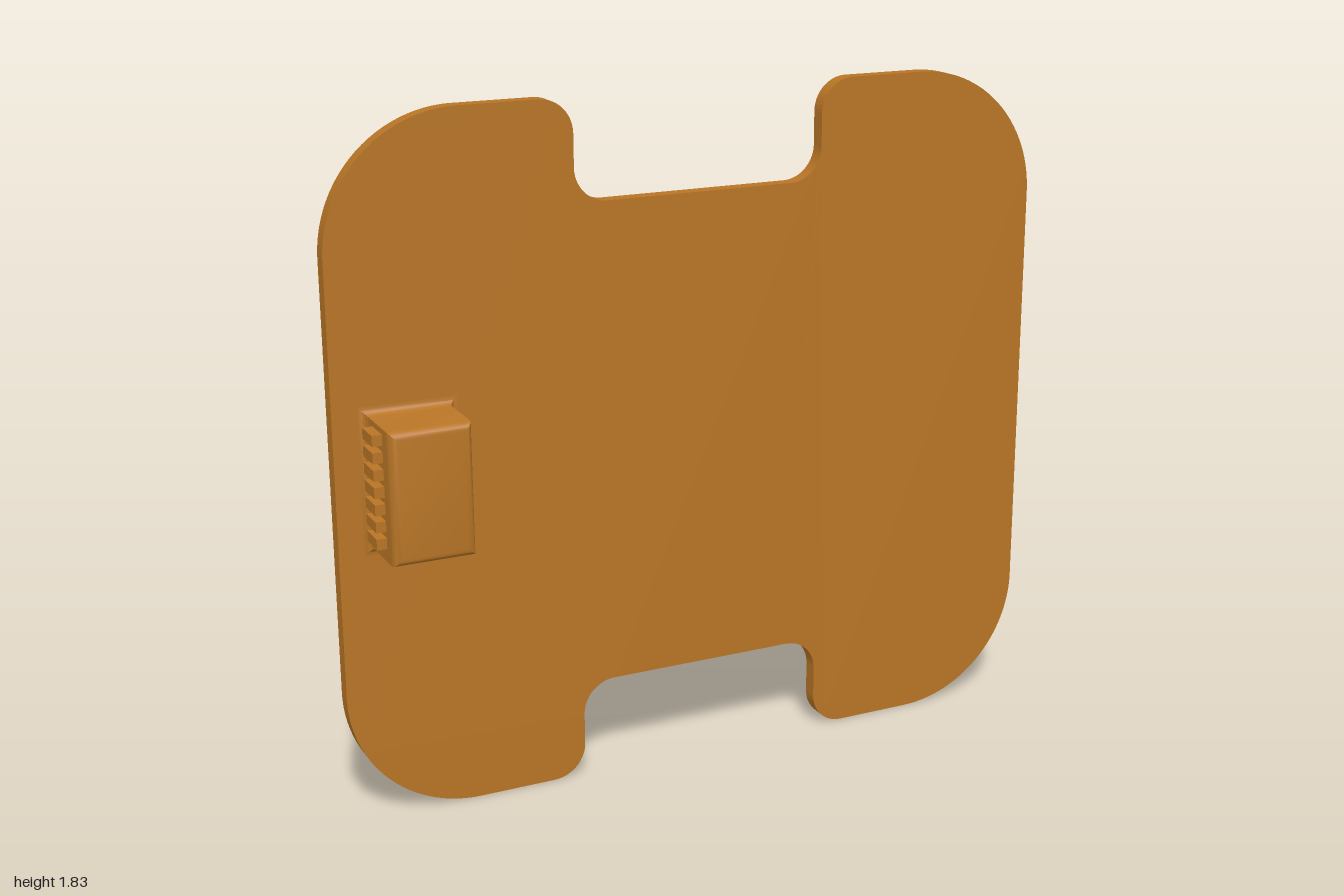
import * as THREE from 'three';
import { toCreasedNormals } from 'three/addons/utils/BufferGeometryUtils.js';

const BACK = -0.108, PLATE_FRONT = -0.066, FRONT = 0.108;

// closed outline from right-angled corners [x, y, radius]
function roundedOutline(corners) {
  const shape = new THREE.Shape();
  corners.forEach(([x, y, r], i) => {
    const n = corners.length;
    const p = new THREE.Vector2(x, y);
    const toPrev = new THREE.Vector2(...corners[(i + n - 1) % n].slice(0, 2)).sub(p).normalize();
    const toNext = new THREE.Vector2(...corners[(i + 1) % n].slice(0, 2)).sub(p).normalize();
    const c = p.clone().addScaledVector(toPrev, r).addScaledVector(toNext, r);
    const start = Math.atan2(-toNext.y, -toNext.x);
    const end = Math.atan2(-toPrev.y, -toPrev.x);
    shape.absarc(c.x, c.y, r, start, end, toPrev.cross(toNext) > 0);
  });
  shape.closePath();
  return shape;
}

// mitred rectangular block from [outset, z] rings, closed at the front
function mitredBlock(halfW, halfH, rings) {
  const pos = [], index = [];
  for (const [d, z] of rings) {
    const w = halfW + d, h = halfH + d;
    pos.push(-w, -h, z, w, -h, z, w, h, z, -w, h, z);
  }
  for (let k = 0; k < rings.length - 1; k++) {
    for (let s = 0; s < 4; s++) {
      const a = k * 4 + s, b = k * 4 + (s + 1) % 4;
      index.push(a, b, b + 4, a, b + 4, a + 4);
    }
  }
  const f = (rings.length - 1) * 4;
  index.push(f, f + 1, f + 2, f, f + 2, f + 3);
  const geo = new THREE.BufferGeometry();
  geo.setAttribute('position', new THREE.Float32BufferAttribute(pos, 3));
  geo.setIndex(index);
  return toCreasedNormals(geo, 0.6);
}

export function createModel() {
  const group = new THREE.Group();
  const material = new THREE.MeshStandardMaterial({ color: 0xb87526 });
  const add = (name, geometry, parent = group) => {
    const mesh = new THREE.Mesh(geometry, material);
    mesh.name = name;
    parent.add(mesh);
    return mesh;
  };

  // flat plate with large outer corners and a notch in the top and bottom edges
  const H = 1.83, R = 0.35, N = 0.35, D = 0.265, r = 0.09;
  const outline = roundedOutline([
    [-1, 0, R], [-N, 0, r], [-N, D, r], [N, D, r], [N, 0, r], [1, 0, R],
    [1, H, R], [N, H, r], [N, H - D, r], [-N, H - D, r], [-N, H, r], [-1, H, R],
  ]);
  const plate = new THREE.ExtrudeGeometry(outline, {
    depth: PLATE_FRONT - BACK, bevelEnabled: false, curveSegments: 20,
  });
  plate.translate(0, 0, BACK);
  add('plate', toCreasedNormals(plate, 0.6));

  // block on the front, with a flared foot and rounded front edges
  const rings = [], steps = 6, foot = 0.021, edge = 0.022;
  for (let i = 0; i <= steps; i++) {
    const a = (i / steps) * Math.PI / 2;
    rings.push([foot * (1 - Math.sin(a)), PLATE_FRONT + foot * (1 - Math.cos(a))]);
  }
  for (let i = 0; i <= steps; i++) {
    const a = (i / steps) * Math.PI / 2;
    rings.push([edge * (Math.cos(a) - 1), FRONT - edge * (1 - Math.sin(a))]);
  }
  add('block', mitredBlock(0.107, 0.172, rings)).position.set(-0.805, 0.917, 0);

  // row of raised ribs on the outer side of the block
  const ribs = new THREE.Group();
  ribs.name = 'sideRibs';
  group.add(ribs);
  const count = 7;
  for (let i = 0; i < count; i++) {
    const rib = add('rib', new THREE.BoxGeometry(0.03, 0.028, 0.075), ribs);
    rib.position.set(-0.923, 0.795 + i * 0.265 / (count - 1), 0.018);
  }
  return group;
}
